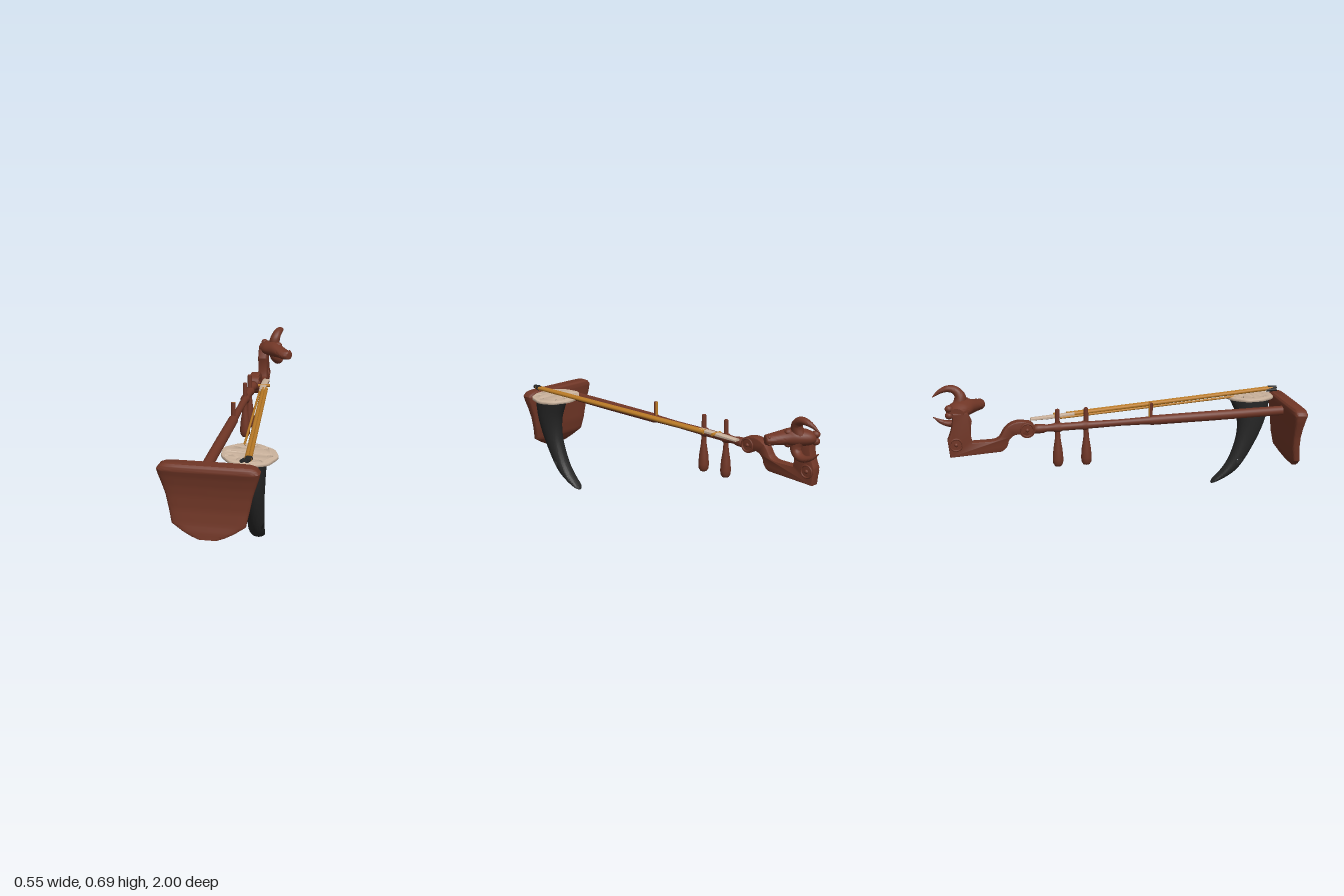
import * as THREE from 'three';
import { toCreasedNormals } from 'three/addons/utils/BufferGeometryUtils.js';

const V = (x, y, z) => new THREE.Vector3(x, y, z);
const material = (name, color) => Object.assign(new THREE.MeshStandardMaterial({ color }), { name });

// Skin a row of oval sections, each given as [edge, opposite edge, half thickness vector]
function skin(stations, { rings = 40, seg = 28, power = 1, hole = null, smooth = true } = {}) {
  const curves = [0, 1, 2].map(k => {
    const points = stations.map(s => V(...s[k]));
    if (smooth) return new THREE.CatmullRomCurve3(points);
    const path = new THREE.CurvePath();
    path.getPoint = t => {
      const f = t * (points.length - 1), i = Math.min(Math.floor(f), points.length - 2);
      return points[i].clone().lerp(points[i + 1], f - i);
    };
    return path;
  });
  const pts = [], index = [];
  const pow = v => Math.sign(v) * Math.abs(v) ** power;
  for (let i = 0; i <= rings; i++) {
    const [l, r, b] = curves.map(c => c.getPoint(i / rings));
    const mid = l.clone().add(r).multiplyScalar(0.5), a = l.clone().sub(mid);
    for (let j = 0; j < seg; j++) {
      const t = (j / seg) * Math.PI * 2;
      pts.push(mid.clone().addScaledVector(a, pow(Math.cos(t))).addScaledVector(b, pow(Math.sin(t))));
    }
  }
  for (let i = 0; i < rings; i++) for (let j = 0; j < seg; j++) {
    const a = i * seg + j, b = i * seg + (j + 1) % seg, c = a + seg, d = b + seg;
    const m = pts[a].clone().add(pts[d]).multiplyScalar(0.5);
    if (hole && Math.hypot(m.y - hole.y, m.z - hole.z) < hole.r) continue;
    index.push(a, b, d, a, d, c);
  }
  for (const end of [0, rings]) {
    const c = pts.length, o = end * seg;
    pts.push(pts.slice(o, o + seg).reduce((s, p) => s.add(p), V(0, 0, 0)).divideScalar(seg));
    for (let j = 0; j < seg; j++) {
      const a = o + j, b = o + (j + 1) % seg;
      if (end) index.push(c, a, b); else index.push(c, b, a);
    }
  }
  // Turn the faces outward
  const origin = pts[0];
  let volume = 0;
  for (let i = 0; i < index.length; i += 3) {
    const [a, b, c] = [0, 1, 2].map(k => pts[index[i + k]].clone().sub(origin));
    volume += a.dot(b.cross(c));
  }
  if (volume < 0) index.reverse();
  const g = new THREE.BufferGeometry().setFromPoints(pts);
  g.setIndex(index);
  return toCreasedNormals(g, 0.7);
}

export function createModel() {
  const model = new THREE.Group();
  model.name = 'fiddle';
  const wood = material('red brown wood', 0x703626);
  const black = material('black horn', 0x262626);
  black.side = THREE.DoubleSide;
  const bone = material('pale bone', 0xcab29c);
  const ochre = material('ochre cane', 0xb97a26);

  const add = (name, geometry, mat, x = 0, y = 0, z = 0) => {
    const mesh = new THREE.Mesh(geometry, mat);
    mesh.name = name;
    mesh.position.set(x, y, z);
    model.add(mesh);
    return mesh;
  };
  const rod = (name, a, b, ra, rb, mat) => {
    const dir = V(...b).sub(V(...a));
    const mesh = add(name, new THREE.CylinderGeometry(rb, ra, dir.length(), 14), mat);
    mesh.position.copy(V(...a)).addScaledVector(dir, 0.5);
    mesh.quaternion.setFromUnitVectors(V(0, 1, 0), dir.normalize());
  };
  const lathe = profile => new THREE.LatheGeometry(profile.map(p => new THREE.Vector2(...p)), 24);

  // Hanging end plate: height, half width, front z, back z
  const plateRows = [
    [0.531, 0.21, 0.985, 0.926], [0.522, 0.23, 0.995, 0.918], [0.503, 0.245, 1.0, 0.915],
    [0.47, 0.238, 0.99, 0.917], [0.42, 0.222, 0.98, 0.92], [0.37, 0.207, 0.975, 0.922],
    [0.30, 0.193, 0.975, 0.925], [0.228, 0.178, 0.985, 0.937], [0.195, 0.125, 0.994, 0.957],
    [0.173, 0.08, 0.998, 0.973], [0.161, 0.045, 1.0, 0.984]];
  add('endPlate', skin(plateRows.map(([y, w, f, b]) => [
    [-0.027 - w, y, (f + b) / 2], [-0.027 + w, y, (f + b) / 2], [0, 0, (f - b) / 2]]),
  { rings: 40, seg: 40, power: 0.35, smooth: false }), wood);

  // Long neck with turned rings
  const neck = add('neck', lathe([
    [0, -0.475], [0.024, -0.475], [0.026, -0.45], [0.024, -0.42], [0.019, -0.405], [0.021, -0.37],
    [0.027, -0.355], [0.027, -0.335], [0.021, -0.32], [0.021, -0.215], [0.026, -0.205], [0.026, -0.19],
    [0.02, -0.175], [0.018, 0], [0.021, 0.15], [0.026, 0.17], [0.027, 0.5], [0.026, 0.93], [0, 0.93]])
    .rotateX(Math.PI / 2), wood, -0.057, 0.463, 0);
  neck.rotation.x = -0.018;

  // Tuning pegs, and a small post whose back is ochre
  for (const z of [-0.19, -0.345]) add('tuningPeg', lathe([
    [0, 0.237], [0.018, 0.24], [0.027, 0.255], [0.029, 0.28], [0.025, 0.33], [0.016, 0.39],
    [0.013, 0.43], [0.012, 0.552], [0.009, 0.557], [0, 0.557]]), wood, -0.057, 0, z);
  const third = Math.PI / 3;
  for (const [mat, start, arc] of [[wood, -2 * third, 4 * third], [ochre, 2 * third, 2 * third]]) {
    add('post', new THREE.CylinderGeometry(0.012, 0.012, 0.11, 12, 1, false, start, arc), mat, -0.057, 0.507, 0.165);
  }

  // Scrolled bracket carrying the carved head, drawn as (z, y)
  const bracket = new THREE.Shape();
  bracket.moveTo(-0.47, 0.46);
  bracket.quadraticCurveTo(-0.49, 0.505, -0.55, 0.507);
  bracket.quadraticCurveTo(-0.62, 0.50, -0.645, 0.44);
  bracket.quadraticCurveTo(-0.66, 0.408, -0.70, 0.407);
  bracket.lineTo(-0.80, 0.405);
  bracket.quadraticCurveTo(-0.815, 0.46, -0.80, 0.52);
  bracket.lineTo(-0.82, 0.57);
  bracket.lineTo(-0.90, 0.57);
  bracket.quadraticCurveTo(-0.895, 0.49, -0.93, 0.42);
  bracket.lineTo(-0.92, 0.328);
  bracket.lineTo(-0.65, 0.345);
  bracket.quadraticCurveTo(-0.615, 0.36, -0.61, 0.40);
  bracket.quadraticCurveTo(-0.59, 0.44, -0.54, 0.435);
  bracket.lineTo(-0.51, 0.42);
  add('headBracket', toCreasedNormals(new THREE.ExtrudeGeometry(bracket, {
    depth: 0.04, bevelThickness: 0.007, bevelSize: 0.006, bevelOffset: -0.006, bevelSegments: 2, curveSegments: 10,
  }).rotateY(-Math.PI / 2), 0.6), wood, -0.037, 0, 0);
  for (const [y, z, r] of [[0.457, -0.51, 0.043], [0.398, -0.887, 0.04]]) {
    add('scroll', new THREE.CylinderGeometry(r, r, 0.054, 28).rotateZ(Math.PI / 2), wood, -0.057, y, z);
    for (const s of [-1, 1]) {
      add('scrollRim', new THREE.TorusGeometry(r * 0.8, 0.005, 8, 28).rotateY(Math.PI / 2), wood, -0.057 + s * 0.027, y, z);
      add('scrollEye', new THREE.SphereGeometry(0.011, 14, 10), wood, -0.057 + s * 0.025, y, z);
    }
  }

  // Carved head lying on its side, muzzle toward +x
  add('head', skin([
    [[-0.075, 0.57, -0.92], [-0.085, 0.57, -0.84], [0, 0.024, 0]],
    [[-0.03, 0.573, -0.93], [-0.05, 0.573, -0.80], [0, 0.042, 0]],
    [[0.03, 0.577, -0.89], [-0.01, 0.577, -0.775], [0, 0.046, 0]],
    [[0.07, 0.572, -0.835], [0.038, 0.572, -0.74], [0, 0.035, 0]],
    [[0.108, 0.566, -0.79], [0.068, 0.566, -0.72], [0, 0.029, 0]],
    [[0.132, 0.565, -0.762], [0.1, 0.565, -0.716], [0, 0.025, 0]],
    [[0.126, 0.565, -0.745], [0.116, 0.565, -0.732], [0, 0.01, 0]]]), wood);
  const hornRows = [ // x, half width, outer y z, inner y z
    [0.005, 0.034, 0.585, -0.815, 0.585, -0.90], [0.015, 0.03, 0.65, -0.825, 0.637, -0.88],
    [0.027, 0.026, 0.69, -0.87, 0.653, -0.893], [0.034, 0.021, 0.692, -0.92, 0.658, -0.92],
    [0.034, 0.012, 0.668, -0.968, 0.65, -0.955], [0.028, 0.003, 0.636, -0.997, 0.634, -0.992]];
  for (const s of [1, -1]) {
    const flip = y => 0.58 + s * (y - 0.58);
    add('headHorn', skin(hornRows.map(([x, w, yo, zo, yi, zi]) =>
      [[x, flip(yo), zo], [x, flip(yi), zi], [w, 0, 0]]), { rings: 24, seg: 16 }), wood);
    const ear = add('ear', new THREE.SphereGeometry(1, 14, 10), wood, -0.06, 0.573 + s * 0.018, -0.915);
    ear.scale.set(0.022, 0.02, 0.022);
    const brow = add('brow', new THREE.SphereGeometry(1, 14, 10), wood, 0.035, 0.575 + s * 0.03, -0.82);
    brow.scale.set(0.026, 0.018, 0.02);
    add('nostril', new THREE.SphereGeometry(0.011, 10, 8), wood, 0.115, 0.565 + s * 0.016, -0.762);
  }

  // Curved sound horn with a round hole: center x, half width, outer z y, inner z y
  const soundRows = [
    [0.165, 0.056, 0.918, 0.513, 0.672, 0.513], [0.163, 0.053, 0.893, 0.374, 0.721, 0.40],
    [0.161, 0.046, 0.823, 0.214, 0.727, 0.294], [0.158, 0.041, 0.732, 0.08, 0.689, 0.16],
    [0.156, 0.036, 0.651, 0.027, 0.646, 0.085], [0.155, 0.027, 0.595, 0.005, 0.592, 0.028],
    [0.155, 0.012, 0.578, 0.0, 0.578, 0.01]];
  add('soundHorn', skin(soundRows.map(([x, w, zo, yo, zi, yi]) =>
    [[x, yo, zo], [x, yi, zi], [w, 0, 0]]),
  { rings: 110, seg: 64, hole: { y: 0.134, z: 0.737, r: 0.018 } }), black);

  // Pale wavy disc pierced by rim slots and two larger openings
  const outline = [];
  for (let i = 0; i < 90; i++) {
    const t = (i / 90) * Math.PI * 2, r = 0.135 + 0.002 * Math.cos(t * 9) + 0.002 * Math.sin(t * 5);
    outline.push(new THREE.Vector2(r * Math.cos(t), r * Math.sin(t)));
  }
  const discShape = new THREE.Shape(outline);
  const slots = [[-0.073, 0.058, 0.026, 0.008, -0.35], [0.1, -0.012, 0.014, 0.012, 0]];
  for (let i = 0; i < 11; i++) {
    const t = i * 0.571 + 0.25, r = 0.097 + 0.006 * Math.sin(i * 2.3);
    const clear = slots.slice(0, 2).every(s => Math.hypot(s[0] - r * Math.cos(t), s[1] - r * Math.sin(t)) > 0.045);
    if (clear) slots.push([r * Math.cos(t), r * Math.sin(t), 0.014, 0.003, t + 0.25 * Math.sin(i * 3)]);
  }
  for (const [x, y, a, b, turn] of slots) {
    discShape.holes.push(new THREE.Path().absellipse(x, y, a, b, 0, Math.PI * 2, true, turn));
  }
  const discBody = new THREE.ExtrudeGeometry(discShape, {
    depth: 0.012, bevelThickness: 0.005, bevelSize: 0.005, bevelOffset: -0.004, bevelSegments: 2, curveSegments: 8,
  }).rotateX(-Math.PI / 2);
  // Thin the disc toward its rim
  const p = discBody.attributes.position;
  for (let i = 0; i < p.count; i++) {
    const rim = Math.hypot(p.getX(i), p.getZ(i)) > 0.121;
    p.setY(i, 0.006 + (p.getY(i) - 0.006) * (rim ? 0.75 : 1.15));
  }
  const disc = add('disc', toCreasedNormals(discBody, 0.7), bone, 0.136, 0.513, 0.782);
  disc.rotation.z = -0.05;

  // Cane bow with its lower string and pale tip
  rod('bowCane', [0.162, 0.554, 0.925], [0.048, 0.498, -0.28], 0.01, 0.011, ochre);
  rod('bowCane', [0.146, 0.554, 0.925], [0.032, 0.498, -0.28], 0.01, 0.011, ochre);
  rod('bowString', [0.094, 0.531, 0.68], [0.01, 0.488, -0.32], 0.006, 0.006, ochre);
  add('bowTip', skin([
    [[0.014, 0.502, -0.24], [0.05, 0.502, -0.24], [0, 0.008, 0]],
    [[0.004, 0.494, -0.36], [0.041, 0.494, -0.36], [0, 0.009, 0]],
    [[0.0, 0.488, -0.482], [0.037, 0.488, -0.482], [0, 0.006, 0]]], { rings: 8, seg: 16, power: 0.5 }), bone);
  rod('crossPin', [-0.008, 0.497, -0.345], [0.06, 0.499, -0.345], 0.008, 0.008, ochre);

  // Black bow grip resting over the disc rim
  rod('bowGrip', [0.148, 0.553, 0.905], [0.152, 0.557, 0.95], 0.0125, 0.011, black);
  rod('bowGrip', [0.162, 0.553, 0.905], [0.154, 0.557, 0.95], 0.0125, 0.01, black);
  rod('bowGrip', [0.14, 0.545, 0.89], [0.126, 0.551, 0.945], 0.009, 0.009, black);
  return model;
}
